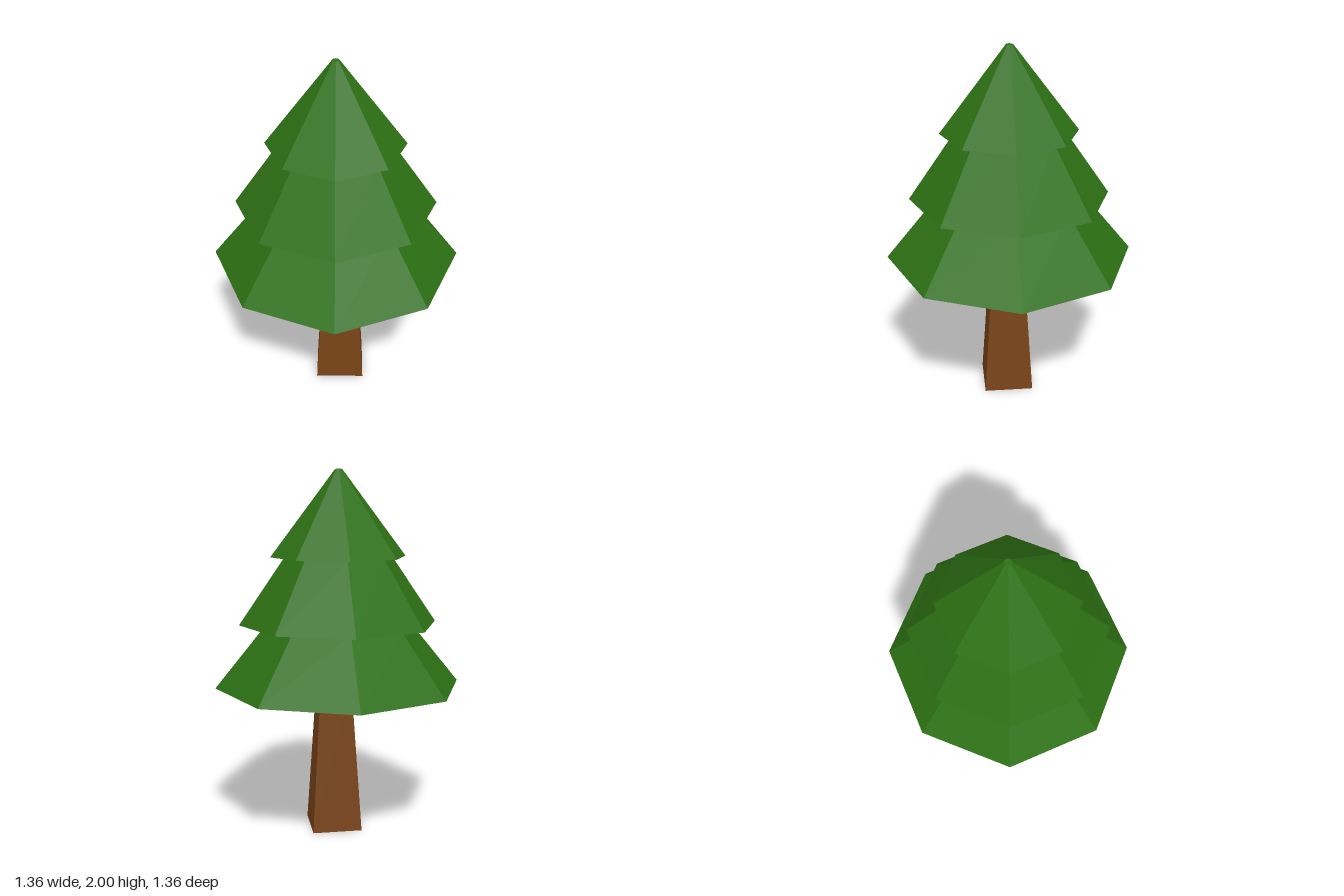
import * as THREE from 'three';

// Eight-sided canopy tiers: base height, base radius, top height, top radius
const TIERS = [
  { name: 'lowerBranches', y0: 0.825, r0: 0.682, y1: 1.17, r1: 0.4 },
  { name: 'middleBranches', y0: 1.17, r0: 0.546, y1: 1.535, r1: 0.295 },
  { name: 'upperBranches', y0: 1.535, r0: 0.372, y1: 2.0, r1: 0.019 },
];

// Tapered prism standing between two heights; a corner lies at angle 0 unless turned
function frustum(name, sides, y0, r0, y1, r1, material, turn = 0) {
  const geometry = new THREE.CylinderGeometry(r1, r0, y1 - y0, sides);
  geometry.rotateY(turn);
  geometry.translate(0, (y0 + y1) / 2, 0);
  const mesh = new THREE.Mesh(geometry, material);
  mesh.name = name;
  return mesh;
}

export function createModel() {
  const tree = new THREE.Group();
  tree.name = 'tree';

  const leaf = new THREE.MeshStandardMaterial({ color: 0x2c7013, flatShading: true });
  const bark = new THREE.MeshStandardMaterial({ color: 0x784318, flatShading: true });

  // Square trunk, slightly off the canopy's axis
  const trunk = frustum('trunk', 4, 0, 0.137 * Math.SQRT2, 0.825, 0.086 * Math.SQRT2, bark, Math.PI / 4);
  trunk.position.set(0.025, 0, 0.018);
  tree.add(trunk);

  // Stacked canopy
  const canopy = new THREE.Group();
  canopy.name = 'canopy';
  for (const t of TIERS) canopy.add(frustum(t.name, 8, t.y0, t.r0, t.y1, t.r1, leaf));
  tree.add(canopy);

  return tree;
}
